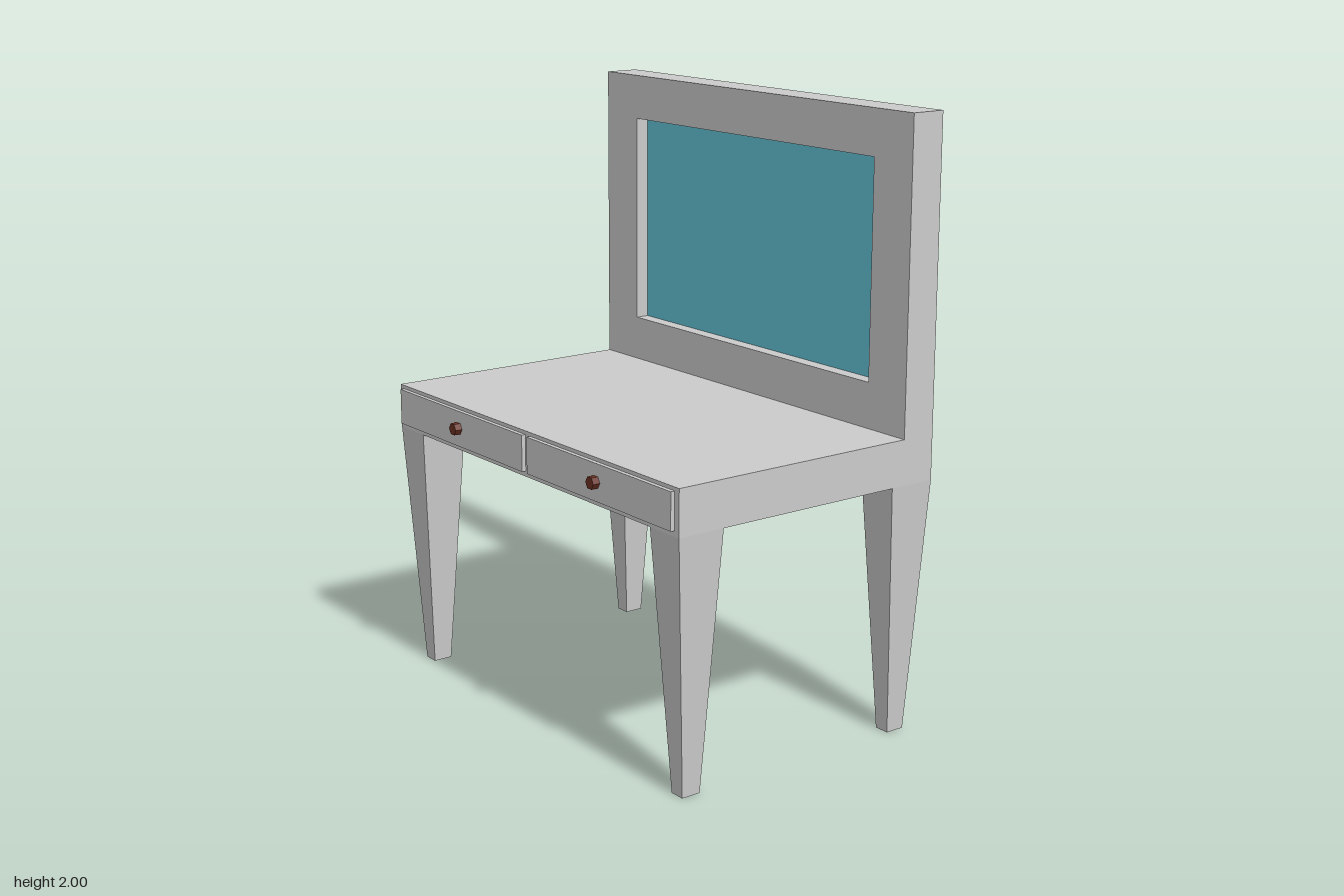
import * as THREE from 'three';

const material = (color) => new THREE.MeshStandardMaterial({ color, flatShading: true });

export function createModel() {
  const model = new THREE.Group();
  model.name = 'dressingTable';
  const grey = material(0xcccccc);
  const glass = material(0x62c4d6);
  const brown = material(0x6b3020);

  const add = (name, geometry, mat = grey) => {
    const mesh = new THREE.Mesh(geometry, mat);
    mesh.name = name;
    model.add(mesh);
    return mesh;
  };
  // Box given by its minimum and maximum corners
  const box = (name, [x0, y0, z0], [x1, y1, z1], mat) =>
    add(name, new THREE.BoxGeometry(x1 - x0, y1 - y0, z1 - z0), mat)
      .position.set((x0 + x1) / 2, (y0 + y1) / 2, (z0 + z1) / 2);

  const rect = (path, x0, y0, x1, y1) =>
    path.moveTo(x0, y0).lineTo(x1, y0).lineTo(x1, y1).lineTo(x0, y1).closePath();

  // Table top body and the solid back board
  box('tableBody', [-0.78, 0.84, -0.52], [0.78, 0.99, 0.48]);
  box('backBoard', [-0.78, 0.99, -0.52], [0.78, 2, -0.45]);

  // Frame around the recessed mirror
  const outline = rect(new THREE.Shape(), -0.78, 0.99, 0.78, 2);
  outline.holes.push(rect(new THREE.Path(), -0.61, 1.14, 0.61, 1.85));
  add('mirrorFrame', new THREE.ExtrudeGeometry(outline, { depth: 0.05, bevelEnabled: false }))
    .position.z = -0.45;
  box('mirror', [-0.61, 1.14, -0.452], [0.61, 1.85, -0.447], glass);

  // Tapered leg: the bottom corners of a box are pulled inwards
  const legGeometry = new THREE.BoxGeometry(0.14, 0.84, 0.165);
  const p = legGeometry.attributes.position;
  for (let i = 0; i < p.count; i++) {
    if (p.getY(i) < 0) {
      p.setX(i, Math.sign(p.getX(i)) * 0.026);
      p.setZ(i, Math.sign(p.getZ(i)) * 0.033);
    }
  }
  legGeometry.computeVertexNormals();

  // Six-sided knob facing forwards, corners to the sides
  const knobGeometry = new THREE.CylinderGeometry(0.021, 0.021, 0.03, 6)
    .rotateY(Math.PI / 6)
    .rotateX(Math.PI / 2);

  for (const [side, s] of [['left', 1], ['right', -1]]) {
    add(side + 'FrontLeg', legGeometry).position.set(s * 0.71, 0.42, 0.3975);
    add(side + 'BackLeg', legGeometry).position.set(s * 0.71, 0.42, -0.4375);
    add(side + 'Drawer', new THREE.BoxGeometry(0.745, 0.12, 0.02))
      .position.set(s * 0.386, 0.918, 0.484);
    add(side + 'Knob', knobGeometry, brown).position.set(s * 0.388, 0.92, 0.503);
  }
  return model;
}
